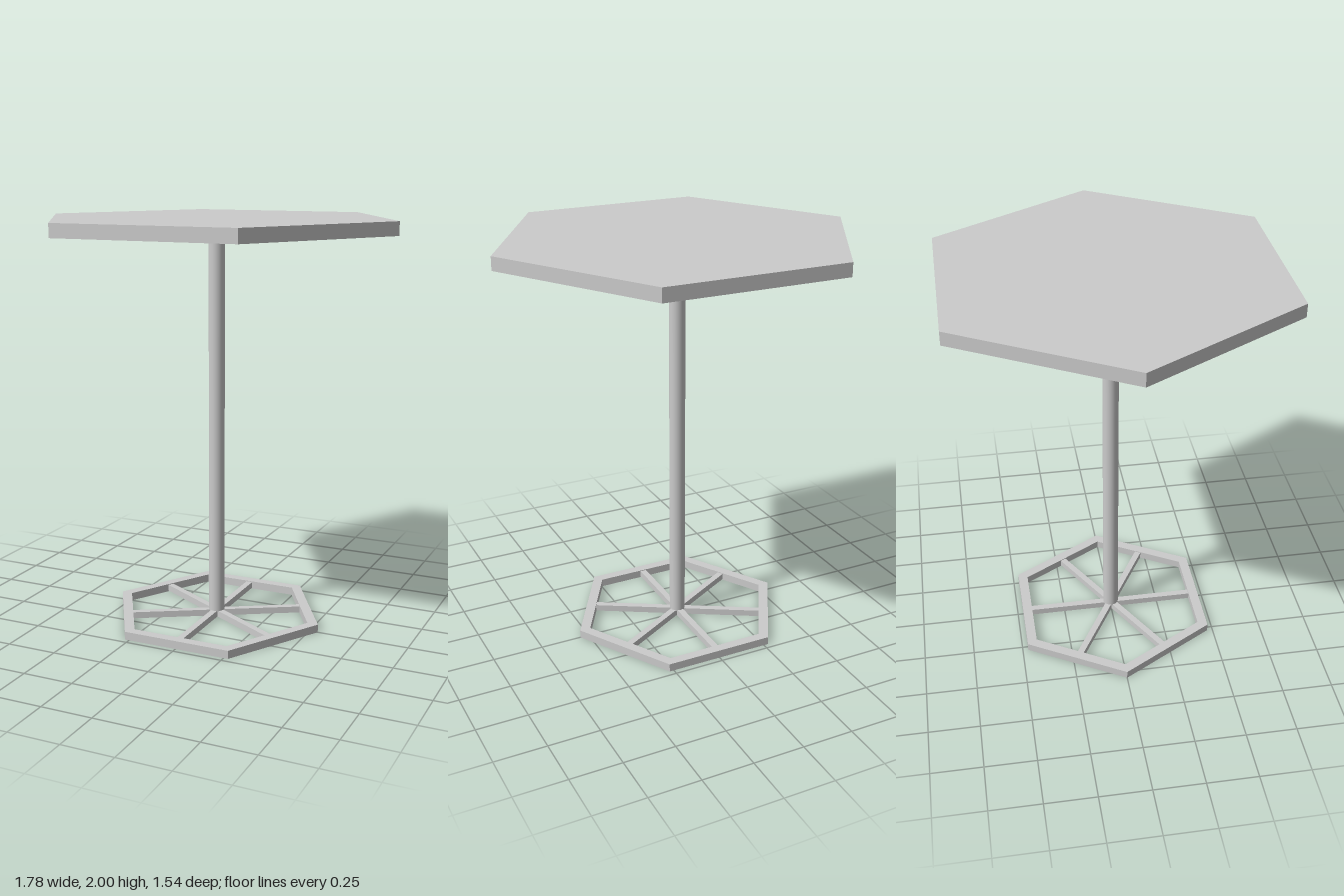
import * as THREE from 'three';

// Hexagon outline with corners on the x axis
function hexPoints(radius) {
  return Array.from({ length: 6 }, (_, i) => {
    const a = (i * Math.PI) / 3;
    return new THREE.Vector2(radius * Math.cos(a), radius * Math.sin(a));
  });
}

// Horizontal hexagonal plate, optionally with a hexagonal opening
function hexPlate(radius, height, innerRadius) {
  const shape = new THREE.Shape(hexPoints(radius));
  if (innerRadius) shape.holes.push(new THREE.Path(hexPoints(innerRadius)));
  return new THREE.ExtrudeGeometry(shape, { depth: height, bevelEnabled: false }).rotateX(-Math.PI / 2);
}

export function createModel() {
  const model = new THREE.Group();
  model.name = 'hexagonalTable';
  const smooth = new THREE.MeshStandardMaterial({ color: 0xcccccc });
  const flat = new THREE.MeshStandardMaterial({ color: 0xcccccc, flatShading: true });

  const add = (name, geometry, material, y, parent = model) => {
    const mesh = new THREE.Mesh(geometry, material);
    mesh.name = name;
    mesh.position.y = y;
    parent.add(mesh);
    return mesh;
  };

  // Table top
  add('tableTop', hexPlate(0.89, 0.065), flat, 1.935);

  // Central post
  const postBottom = 0.03, postTop = 1.94;
  add('post', new THREE.CylinderGeometry(0.039, 0.039, postTop - postBottom, 32), smooth, (postTop + postBottom) / 2);

  // Open base: rim with spokes reaching the middle of each side
  const base = new THREE.Group();
  base.name = 'base';
  model.add(base);
  add('baseRim', hexPlate(0.545, 0.04, 0.49), flat, 0, base);
  const spokeLength = 0.44;
  for (let i = 0; i < 6; i++) {
    const geometry = new THREE.BoxGeometry(spokeLength, 0.032, 0.032).translate(spokeLength / 2, 0, 0);
    const spoke = add('spoke' + (i + 1), geometry, flat, 0.02, base);
    spoke.rotation.y = Math.PI / 6 + (i * Math.PI) / 3;
  }

  return model;
}
